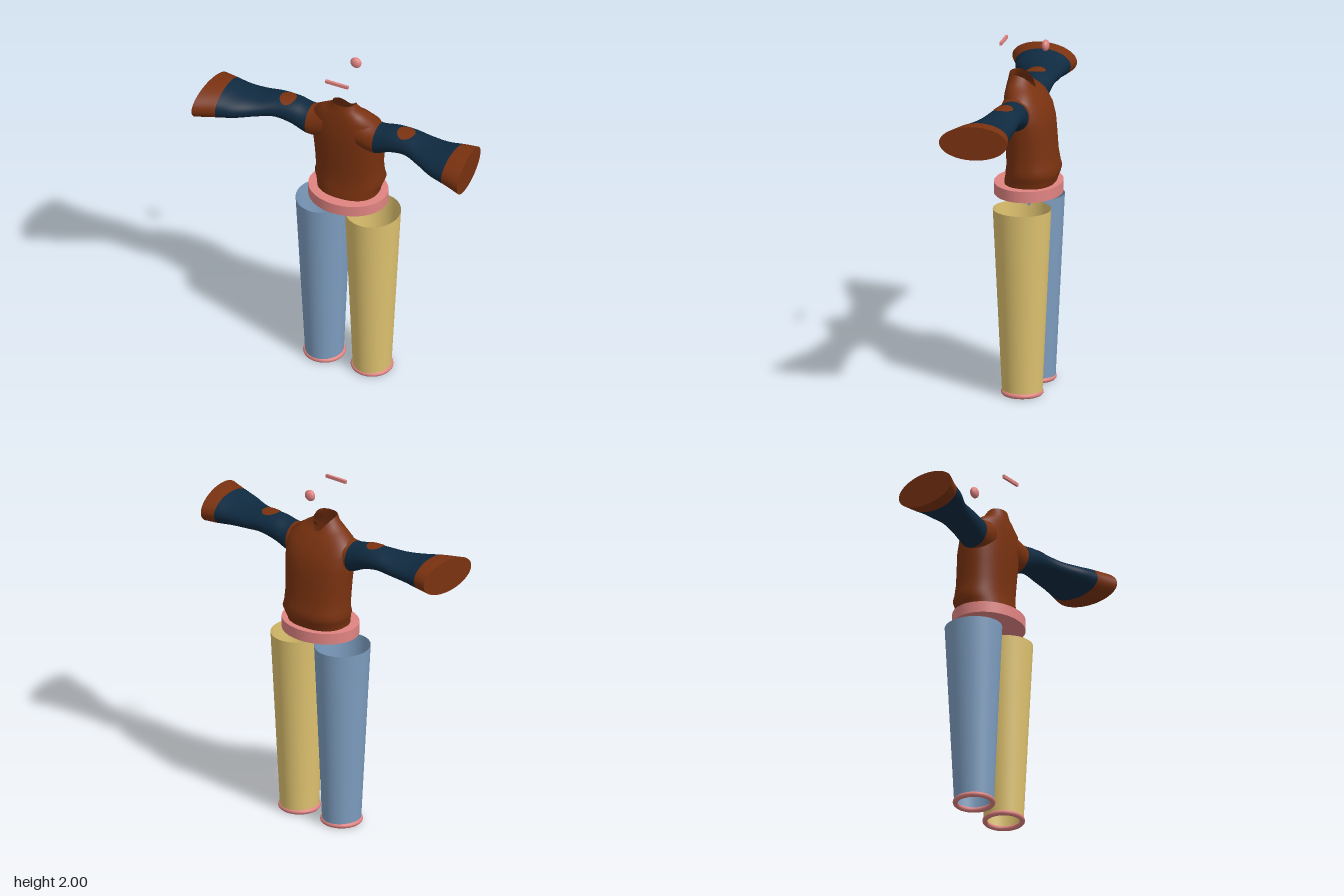
import * as THREE from 'three';

const mat = (name, color, side = THREE.DoubleSide) => {
  const m = new THREE.MeshStandardMaterial({ color, side });
  m.name = name;
  return m;
};

// Skin a list of closed rings of points; flip reverses the facing.
function loft(rings, flip) {
  const n = rings[0].length, pos = [], idx = [];
  rings.forEach((r) => r.forEach((p) => pos.push(...p)));
  for (let i = 0; i < rings.length - 1; i++) {
    for (let j = 0; j < n; j++) {
      const a = i * n + j, b = i * n + (j + 1) % n, c = a + n, d = b + n;
      if (flip) idx.push(a, b, c, b, d, c);
      else idx.push(a, c, b, b, c, d);
    }
  }
  const g = new THREE.BufferGeometry();
  g.setAttribute('position', new THREE.Float32BufferAttribute(pos, 3));
  g.setIndex(idx);
  g.computeVertexNormals();
  return g;
}

const SEG = 48;
const ring = (fn) => Array.from({ length: SEG }, (_, j) => fn((j / SEG) * Math.PI * 2));
const soft = (v, e) => Math.sign(v) * Math.abs(v) ** e;

// Sleeve limits every 0.1 in x, starting at x = 0.1
const spline = (rows) => new THREE.CatmullRomCurve3(
  rows.map(([lo, hi], i) => new THREE.Vector3(0.1 + i * 0.1, lo, hi)), false, 'catmullrom');
const sleeveY = spline([[1.53, 1.735], [1.525, 1.7], [1.567, 1.713], [1.588, 1.712],
  [1.578, 1.7], [1.562, 1.703], [1.543, 1.722], [1.535, 1.728]]);
const sleeveZ = spline([[-0.125, 0.065], [-0.11, 0.068], [-0.11, 0.07], [-0.11, 0.08],
  [-0.11, 0.12], [-0.11, 0.17], [-0.12, 0.2], [-0.135, 0.248]]);

function sleeveSection(x) {
  const t = THREE.MathUtils.clamp((x - 0.1) / 0.7, 0, 1);
  const y = sleeveY.getPoint(t), z = sleeveZ.getPoint(t);
  return { cy: (y.y + y.z) / 2, ry: (y.z - y.y) / 2, cz: (z.y + z.z) / 2, rz: (z.z - z.y) / 2 };
}

function sleeveRing(x, s, scale = 1) {
  const { cy, ry, cz, rz } = sleeveSection(x);
  const slant = 0.02 * THREE.MathUtils.clamp((x - 0.69) / 0.1, 0, 1);
  return ring((a) => [s * (x + slant * Math.sin(a) * scale),
    cy + ry * Math.cos(a) * scale, cz + rz * Math.sin(a) * scale]);
}

function sleevePart(from, to, s, steps) {
  const rings = [];
  for (let i = 0; i <= steps; i++) rings.push(sleeveRing(from + (to - from) * i / steps, s));
  return loft(rings, s > 0);
}

// Oval patch draped over the top of a sleeve
function sleevePatch(cx, rx, rz) {
  const g = new THREE.RingGeometry(0.001, 1, 32, 6), p = g.attributes.position;
  for (let i = 0; i < p.count; i++) {
    const x = cx + p.getX(i) * rx, z = -0.01 - p.getY(i) * rz;
    const s = sleeveSection(Math.abs(x));
    const k = Math.max(0, 1 - ((z - s.cz) / s.rz) ** 2);
    p.setXYZ(i, x, s.cy + s.ry * Math.sqrt(k) + 0.004, z);
  }
  g.computeVertexNormals();
  return g;
}

export function createModel() {
  const model = new THREE.Group();
  const brown = mat('brown cloth', 0x7a3210);
  const navy = mat('navy cloth', 0x0f2a40);
  const pink = mat('pink trim', 0xe08482, THREE.FrontSide);
  const blue = mat('blue cloth', 0x7e9ec0);
  const yellow = mat('yellow cloth', 0xdfc370);
  const add = (name, geometry, material, x = 0, y = 0, z = 0) => {
    const m = new THREE.Mesh(geometry, material);
    m.name = name;
    m.position.set(x, y, z);
    model.add(m);
    return m;
  };

  // Shirt body: y, half width, front z, back z, drop at the back, pinch at the back
  const body = [
    [1.15, 0.172, 0.07, -0.2, 0, 0], [1.2, 0.178, 0.07, -0.212, 0, 0],
    [1.235, 0.188, 0.062, -0.226, 0, 0], [1.265, 0.2, 0.06, -0.234, 0, 0],
    [1.295, 0.193, 0.056, -0.226, 0, 0], [1.36, 0.192, 0.058, -0.214, 0, 0],
    [1.46, 0.198, 0.064, -0.206, 0, 0], [1.55, 0.206, 0.07, -0.198, 0.01, 0],
    [1.63, 0.206, 0.07, -0.18, 0.02, 0], [1.7, 0.192, 0.066, -0.15, 0.045, 0],
    [1.745, 0.125, 0.06, -0.125, 0.05, 0], [1.77, 0.086, 0.055, -0.11, 0.06, 0.2],
    [1.808, 0.07, 0.047, -0.095, 0.08, 0.5],
  ].map(([y, rx, zf, zb, drop, pinch]) => ring((a) => {
    const z = soft(Math.sin(a), 0.85), back = (1 - z) / 2;
    return [rx * soft(Math.cos(a), 0.85) * (1 - pinch * back * back),
      y - drop * back ** 3, (zf + zb) / 2 + z * (zf - zb) / 2];
  }));
  add('shirtBody', loft(body, false), brown);

  // Sleeves, cuffs and patches
  for (const s of [1, -1]) {
    const side = s > 0 ? 'left' : 'right';
    add(side + 'Shoulder', sleevePart(0.1, 0.205, s, 6), brown);
    add(side + 'Sleeve', sleevePart(0.205, 0.69, s, 24), navy);
    add(side + 'Cuff', sleevePart(0.69, 0.79, s, 6), brown);
    add(side + 'CuffEnd', loft([sleeveRing(0.79, s), sleeveRing(0.79, s, 0)], s > 0), brown);
  }
  add('leftSleevePatch', sleevePatch(0.378, 0.05, 0.055), brown);
  add('rightSleevePatch', sleevePatch(-0.343, 0.045, 0.055), brown);

  // Waistband
  add('waistband', new THREE.CylinderGeometry(0.227, 0.227, 0.064, 64), pink, 0, 1.157, -0.058)
    .scale.z = 0.83;

  // Trouser legs with hem rings
  for (const s of [1, -1]) {
    const side = s > 0 ? 'left' : 'right';
    const leg = add(side + 'TrouserLeg',
      new THREE.CylinderGeometry(0.152, 0.105, 1.055, 48, 1, true),
      s > 0 ? yellow : blue, s * 0.148, 0.5425, -0.058);
    leg.scale.z = 1.06;
    leg.rotation.z = -s * 0.005;
    const hem = new THREE.TorusGeometry(0.103, 0.0145, 12, 48).rotateX(Math.PI / 2);
    add(side + 'Hem', hem, pink, s * 0.145, 0.0175, -0.058);
  }

  // Floating bar and bead
  add('bar', new THREE.BoxGeometry(0.138, 0.018, 0.014), pink, 0, 1.981, 0.084);
  add('bead', new THREE.SphereGeometry(1, 24, 16), pink, 0, 1.97, -0.153)
    .scale.set(0.032, 0.032, 0.021);

  return model;
}
